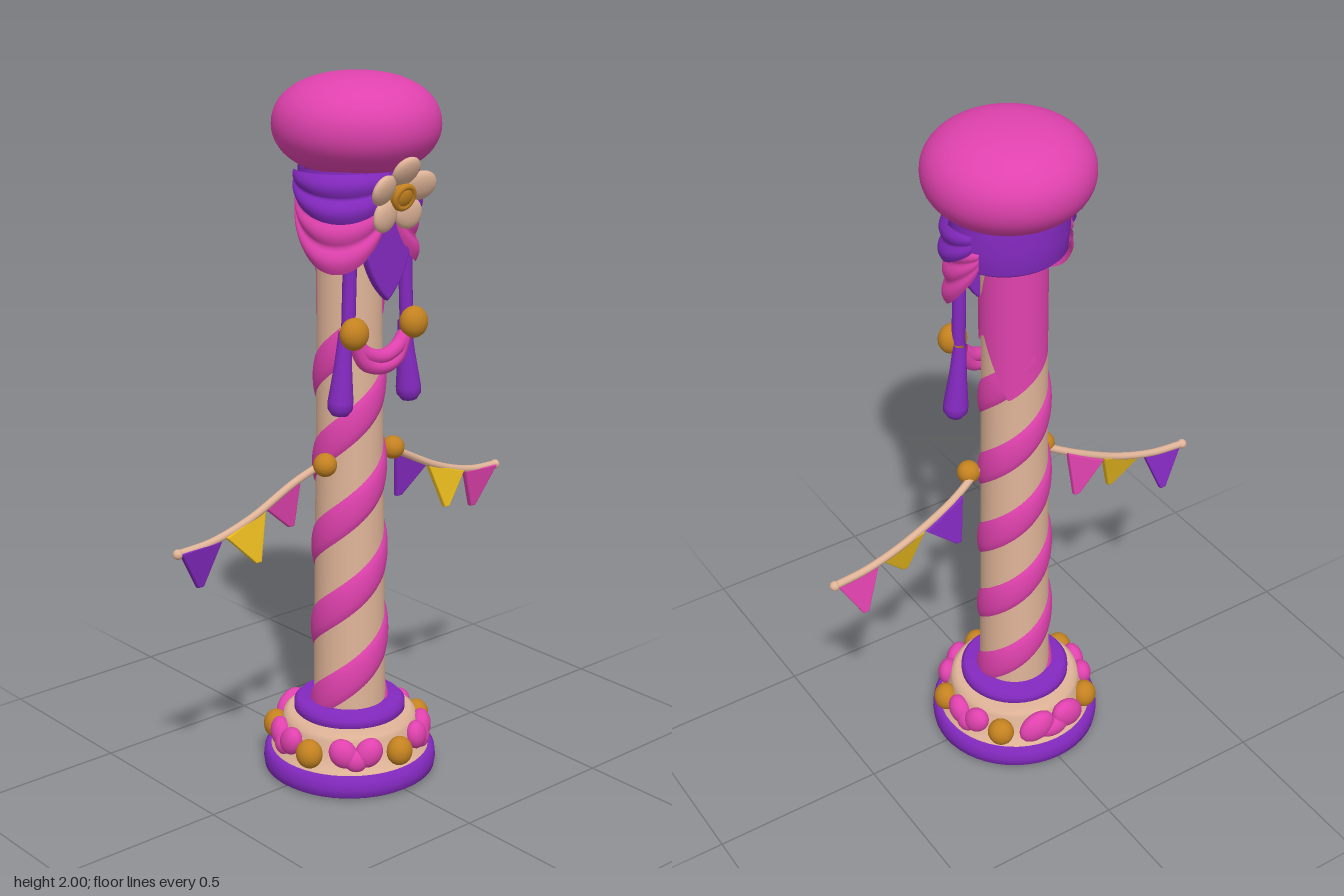
import * as THREE from 'three';

const mat = (name, color) => {
  const m = new THREE.MeshStandardMaterial({ color, side: THREE.DoubleSide });
  m.name = name;
  return m;
};

export function createModel() {
  const pink = mat('pink', 0xe042ae), purple = mat('purple', 0x8429c0), cream = mat('cream', 0xe0b498);
  const gold = mat('gold', 0xc48220), yellow = mat('yellow', 0xe6b81e);
  const root = new THREE.Group();

  const add = (name, geo, material, pos = [0, 0, 0], parent = root) => {
    const m = new THREE.Mesh(geo, material);
    m.name = name;
    m.position.set(...pos);
    parent.add(m);
    return m;
  };
  const lathe = (pts, seg = 48) => new THREE.LatheGeometry(pts.map(p => new THREE.Vector2(...p)), seg);
  const ball = (rx, ry = rx, rz = rx) => new THREE.SphereGeometry(1, 20, 14).scale(rx, ry, rz);
  const tube = (pts, r, seg = 24) =>
    new THREE.TubeGeometry(new THREE.CatmullRomCurve3(pts.map(p => new THREE.Vector3(...p))), seg, r, 10);
  const ramp = (x, a, b) => Math.min(1, Math.max(0, (x - a) / (b - a)));

  // Smooth sheet from a rule f(u, v) -> [x, y, z]
  const sheet = (f, nu, nv) => {
    const pos = [], idx = [];
    for (let i = 0; i <= nu; i++) for (let j = 0; j <= nv; j++) {
      pos.push(...f(i / nu, j / nv));
      if (i < nu && j < nv) {
        const a = i * (nv + 1) + j, b = a + nv + 1;
        idx.push(a, b, a + 1, b, b + 1, a + 1);
      }
    }
    const g = new THREE.BufferGeometry();
    g.setAttribute('position', new THREE.Float32BufferAttribute(pos, 3));
    g.setIndex(idx);
    g.computeVertexNormals();
    return g;
  };

  // Tiered base
  add('baseDisc', lathe([[0, 0], [0.235, 0], [0.247, 0.008], [0.25, 0.03], [0.247, 0.055], [0.235, 0.066], [0, 0.066]]), purple);
  add('baseTier', lathe([[0.23, 0.06], [0.226, 0.072], [0.208, 0.09], [0.2, 0.125], [0.193, 0.15], [0.19, 0.165], [0.175, 0.176], [0, 0.176]]), cream);
  add('baseRing', lathe([[0.15, 0.17], [0.16, 0.18], [0.16, 0.2], [0.148, 0.212], [0, 0.212]]), purple);

  // Beads and heart puffs around the base
  const around = (name, degrees) => {
    const g = new THREE.Group();
    g.name = name;
    g.rotation.y = degrees * Math.PI / 180;
    root.add(g);
    return g;
  };
  for (const d of [0, 73, 136, -136, -73]) {
    add('baseBead', ball(0.039, 0.042, 0.036), gold, [0, 0.113, 0.215], around('beadMount', d));
  }
  for (const [d, w] of [[36, 1], [104, 0.95], [180, 1.5], [-104, 0.95], [-36, 1]]) {
    const heart = around('heartPuff', d);
    for (const s of [-1, 1]) {
      const lobe = add('heartLobe', ball(0.039 * w, 0.045, 0.03), pink, [s * 0.036 * w, 0.124, 0.203], heart);
      lobe.rotation.z = -s * 0.6;
      lobe.rotation.y = s * 0.15;
    }
    add('heartTip', ball(0.034 * w, 0.034, 0.028), pink, [0, 0.104, 0.208], heart);
  }

  // Column
  const R = y => 0.104 - 0.014 * ramp(y, 0.2, 1.3);
  add('column', lathe([[R(0.2), 0.2], [R(0.6), 0.6], [R(1), 1], [R(1.35), 1.35], [R(1.76), 1.76]]), cream);

  // Two ribbons winding up the column
  const onColumn = (a, y, lift) => {
    const r = R(y) + lift;
    return [r * Math.sin(a), y, r * Math.cos(a)];
  };
  const pitch = 0.495;
  for (const [y0, from, to] of [[0.36, -0.46, 1.84], [0.6075, -0.96, 1.5]]) {
    add('spiralRibbon', sheet((u, v) => {
      const turn = from + (to - from) * u;
      const y = Math.max(0.2, y0 + pitch * turn + (v - 0.5) * 0.124);
      return onColumn(turn * Math.PI * 2, y, -0.004 + 0.014 * Math.pow(Math.sin(Math.PI * v), 0.5));
    }, 140, 8), pink);
  }
  // Wide ribbon end gathered under the collar
  add('ribbonTail', sheet((u, v) => {
    const a = 0.6 + 3.4 * u;
    const mid = 1.355 + pitch * a / (Math.PI * 2);
    const low = mid - 0.062 - 0.25 * ramp(a, 1.6, 2.4);
    const high = Math.min(1.68, mid + 0.062 + 0.15 * ramp(a, 1.5, 2));
    return onColumn(a, low + (high - low) * v, -0.004 + 0.0145 * Math.pow(Math.sin(Math.PI * u), 0.4));
  }, 40, 12), pink);

  // Cushion top
  const cushion = [];
  for (let i = 0; i <= 28; i++) {
    const a = -Math.PI / 2 + Math.PI * i / 28, c = Math.max(0, Math.cos(a)), s = Math.sin(a);
    cushion.push([0.226 * Math.pow(c, 0.86), 1.865 + 0.135 * Math.sign(s) * Math.pow(Math.abs(s), 0.95)]);
  }
  add('cushionTop', lathe(cushion), pink, [0, 0, 0.028]);

  // Collar under the cushion
  const collar = add('collar', lathe([[0.125, 1.757], [0.125, 1.64], [0.132, 1.632], [0.14, 1.64], [0.145, 1.7], [0.142, 1.757]]), purple, [0, 0, 0.022]);
  collar.scale.x = 1.12;

  // Draped swags: purple folds over a longer pink layer
  const drape = (s, topY, sideY, drop, base, folds, end) => sheet((u, v) => {
    const a = s * (0.08 + end * u);
    const sag = Math.pow(Math.sin(Math.PI * Math.pow(u, 0.85)), 0.8);
    const low = sideY - drop * sag + 0.02 * u;
    const y = topY + (low - topY) * v;
    const r = base + 0.011 * Math.abs(Math.sin(Math.PI * folds * v)) * (0.3 + 0.7 * sag) + 0.008 * v * sag;
    return [r * 1.18 * Math.sin(a), y, 0.022 + r * Math.cos(a)];
  }, 30, 24);
  for (const s of [-1, 1]) {
    add('pinkSwag', drape(s, 1.7, 1.635, 0.155, 0.141, 3, 2.05), pink);
    add('purpleSwag', drape(s, 1.752, 1.685, 0.07, 0.148, 2, 1.95), purple);
  }

  // Pointed pendant leaf
  const leaf = new THREE.Shape();
  leaf.moveTo(0, 1.415);
  leaf.quadraticCurveTo(0.05, 1.46, 0.07, 1.53);
  leaf.quadraticCurveTo(0.05, 1.6, 0, 1.66);
  leaf.quadraticCurveTo(-0.05, 1.6, -0.07, 1.53);
  leaf.quadraticCurveTo(-0.05, 1.46, 0, 1.415);
  add('pendantLeaf', new THREE.ExtrudeGeometry(leaf, {
    depth: 0.012, bevelThickness: 0.008, bevelSize: 0.006, bevelSegments: 2, curveSegments: 10,
  }), purple, [0, 0, 0.14]);

  // Flower, leaning forward at the top
  const flower = new THREE.Group();
  flower.name = 'flower';
  flower.position.set(0, 1.698, 0.195);
  flower.rotation.x = 0.3;
  root.add(flower);
  for (let i = 0; i < 5; i++) {
    const arm = new THREE.Group();
    arm.name = 'petalArm';
    arm.rotation.z = i * Math.PI * 0.4;
    flower.add(arm);
    add('petal', ball(0.043, 0.046, 0.018), cream, [0, 0.067, 0.008], arm).rotation.x = 0.25;
  }
  add('flowerCenter', ball(0.035, 0.035, 0.022), gold, [0, 0, 0.012], flower);
  add('flowerRing', new THREE.TorusGeometry(0.03, 0.009, 10, 28), gold, [0, 0, 0.022], flower);

  // Hanging tassels with beads
  for (const s of [-1, 1]) {
    add('tasselCord', tube([[s * 0.1, 1.64, 0.12], [s * 0.1, 1.48, 0.115], [s * 0.105, 1.33, 0.115]], 0.019), purple);
    const drop = add('tasselDrop', lathe([[0, 0], [0.022, 0.003], [0.034, 0.02], [0.035, 0.04], [0.024, 0.14], [0.018, 0.23]], 20), purple, [s * 0.127, 1.1, 0.105]);
    drop.rotation.z = s * 0.09;
    add('tasselBead', ball(0.042, 0.044, 0.036), gold, [s * 0.107, 1.33, 0.142]);
  }

  // Small swag between the tassels, in two folds
  for (const dy of [0, -0.028]) {
    add('smallSwag', tube([[-0.088, 1.295, 0.125], [-0.055, 1.266 + dy, 0.13], [0, 1.25 + dy, 0.135],
      [0.055, 1.266 + dy, 0.13], [0.088, 1.295, 0.125]], 0.021), pink);
  }

  // Bunting on both sides
  const flags = [
    [[0.18, 0.912], [0.293, 0.848], [0.2, 0.772], -0.014],
    [[0.305, 0.846], [0.435, 0.8], [0.35, 0.716], 0.03],
    [[0.455, 0.792], [0.58, 0.786], [0.507, 0.67], -0.022],
  ];
  for (const s of [-1, 1]) {
    add('buntingKnot', ball(0.033), gold, [s * 0.125, 0.947, 0.042]);
    add('buntingRope', tube([[s * 0.1, 0.955, 0.03], [s * 0.2, 0.905, 0.004], [s * 0.35, 0.833, -0.002],
      [s * 0.48, 0.795, -0.006], [s * 0.588, 0.786, -0.01]], 0.011, 36), cream);
    add('ropeEnd', ball(0.014), cream, [s * 0.588, 0.786, -0.01]);
    const colors = s > 0 ? [purple, yellow, pink] : [pink, yellow, purple];
    flags.forEach(([a, b, tip, tipZ], i) => {
      // Slightly blunt pennant
      const corners = [a, b, [tip[0] + 0.008, tip[1] + 0.004], [tip[0] - 0.005, tip[1] + 0.004]];
      const shape = new THREE.Shape(corners.map(([x, y]) => new THREE.Vector2(s * x, y)));
      const g = new THREE.ExtrudeGeometry(shape, { depth: 0.01, bevelThickness: 0.004, bevelSize: 0.004, bevelSegments: 2 });
      // Lean the tip forward or back
      const p = g.attributes.position, top = (a[1] + b[1]) / 2;
      for (let k = 0; k < p.count; k++) {
        p.setZ(k, p.getZ(k) - 0.009 + tipZ * Math.max(0, (top - p.getY(k)) / (top - tip[1])));
      }
      g.computeVertexNormals();
      add('buntingFlag', g, colors[i]);
    });
  }
  return root;
}
